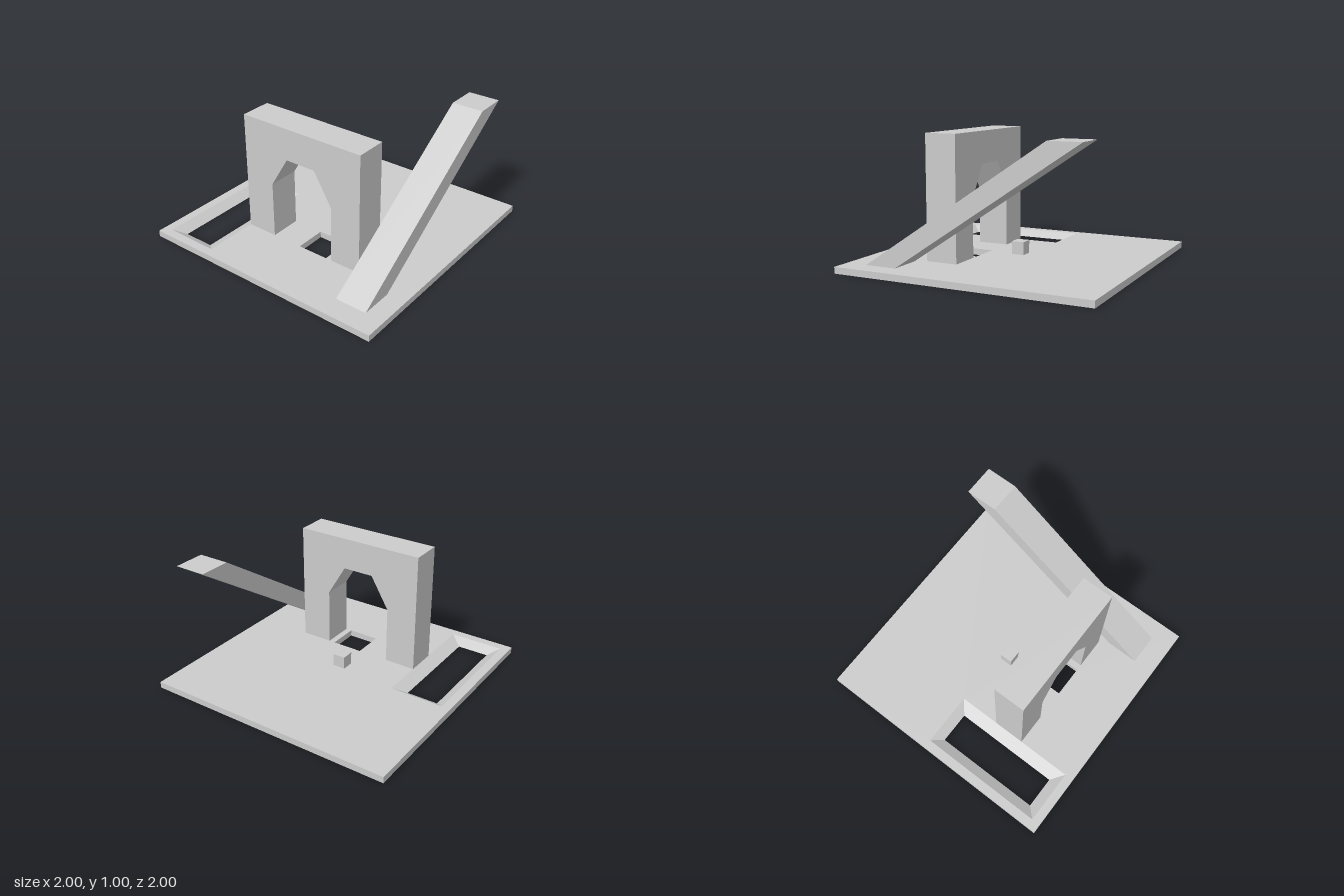
import * as THREE from 'three';

const material = new THREE.MeshStandardMaterial({ color: 0xcccccc, flatShading: true });
const PLATE = 0.05;

function addMesh(parent, name, geometry) {
  const mesh = new THREE.Mesh(geometry, material);
  mesh.name = name;
  parent.add(mesh);
  return mesh;
}

// Corner ring [x, z] of an axis-aligned rectangle
const rect = (x0, x1, z0, z1) => [[x0, z0], [x1, z0], [x1, z1], [x0, z1]];

const toShape = (points, Type = THREE.Shape) =>
  new Type(points.map(([a, b]) => new THREE.Vector2(a, b)));

// Flat horizontal face with holes; up = 1 faces upward, -1 downward
function face(outline, holes, y, up) {
  const flip = ring => ring.map(([x, z]) => [x, -up * z]);
  const shape = toShape(flip(outline));
  shape.holes = holes.map(h => toShape(flip(h), THREE.Path));
  return new THREE.ShapeGeometry(shape).rotateX(-up * Math.PI / 2).translate(0, y, 0);
}

// Wall joining a lower ring to an upper ring; inward walls line a hole
function wall(lower, upper, inward) {
  const positions = [];
  lower.forEach((_, i) => {
    const j = (i + 1) % lower.length;
    const at = (ring, k, y) => [ring[k][0], y, ring[k][1]];
    const p0 = at(lower, i, 0), q0 = at(lower, j, 0);
    const p1 = at(upper, i, PLATE), q1 = at(upper, j, PLATE);
    const tris = inward ? [p0, q0, q1, p0, q1, p1] : [p0, q1, q0, p0, p1, q1];
    positions.push(...tris.flat());
  });
  const geometry = new THREE.BufferGeometry();
  geometry.setAttribute('position', new THREE.Float32BufferAttribute(positions, 3));
  geometry.computeVertexNormals();
  return geometry;
}

function extrude(points, depth) {
  return new THREE.ExtrudeGeometry(toShape(points), { depth, bevelEnabled: false });
}

export function createModel() {
  const model = new THREE.Group();
  model.name = 'courseModel';

  // Ground plate with a square shaft and a pit that widens toward the top
  const plate = new THREE.Group();
  plate.name = 'groundPlate';
  model.add(plate);
  const outline = rect(-1, 1, -1, 1);
  const shaft = rect(0, 0.25, 0.25, 0.5);
  const pitBottom = rect(-0.85, -0.6, 0, 0.85);
  const pitTop = rect(-0.93, -0.5, -0.08, 0.93);
  addMesh(plate, 'plateTop', face(outline, [shaft, pitTop], PLATE, 1));
  addMesh(plate, 'plateBottom', face(outline, [shaft, pitBottom], 0, -1));
  addMesh(plate, 'plateRim', wall(outline, outline, false));
  addMesh(plate, 'shaftWalls', wall(shaft, shaft, true));
  addMesh(plate, 'pitSlopes', wall(pitBottom, pitTop, true));

  // Archway with an angular opening
  const arch = extrude([
    [-0.5, PLATE], [-0.25, PLATE], [-0.25, 0.5], [-0.1, 0.75], [0.15, 0.75],
    [0.3, 0.5], [0.3, PLATE], [0.55, PLATE], [0.55, 1], [-0.5, 1],
  ], 0.25);
  addMesh(model, 'archway', arch.translate(0, 0, 0.25));

  // Leaning ramp, its side profile drawn as [-z, y] and swept along x
  const ramp = extrude([[-0.83, PLATE], [-0.58, PLATE], [0.85, 1], [0.6, 1]], 0.25);
  addMesh(model, 'ramp', ramp.rotateY(Math.PI / 2).translate(0.6, 0, 0));

  // Small cube behind the archway
  const cube = addMesh(model, 'smallCube', new THREE.BoxGeometry(0.1, 0.1, 0.1));
  cube.position.y = PLATE + 0.05;

  return model;
}
